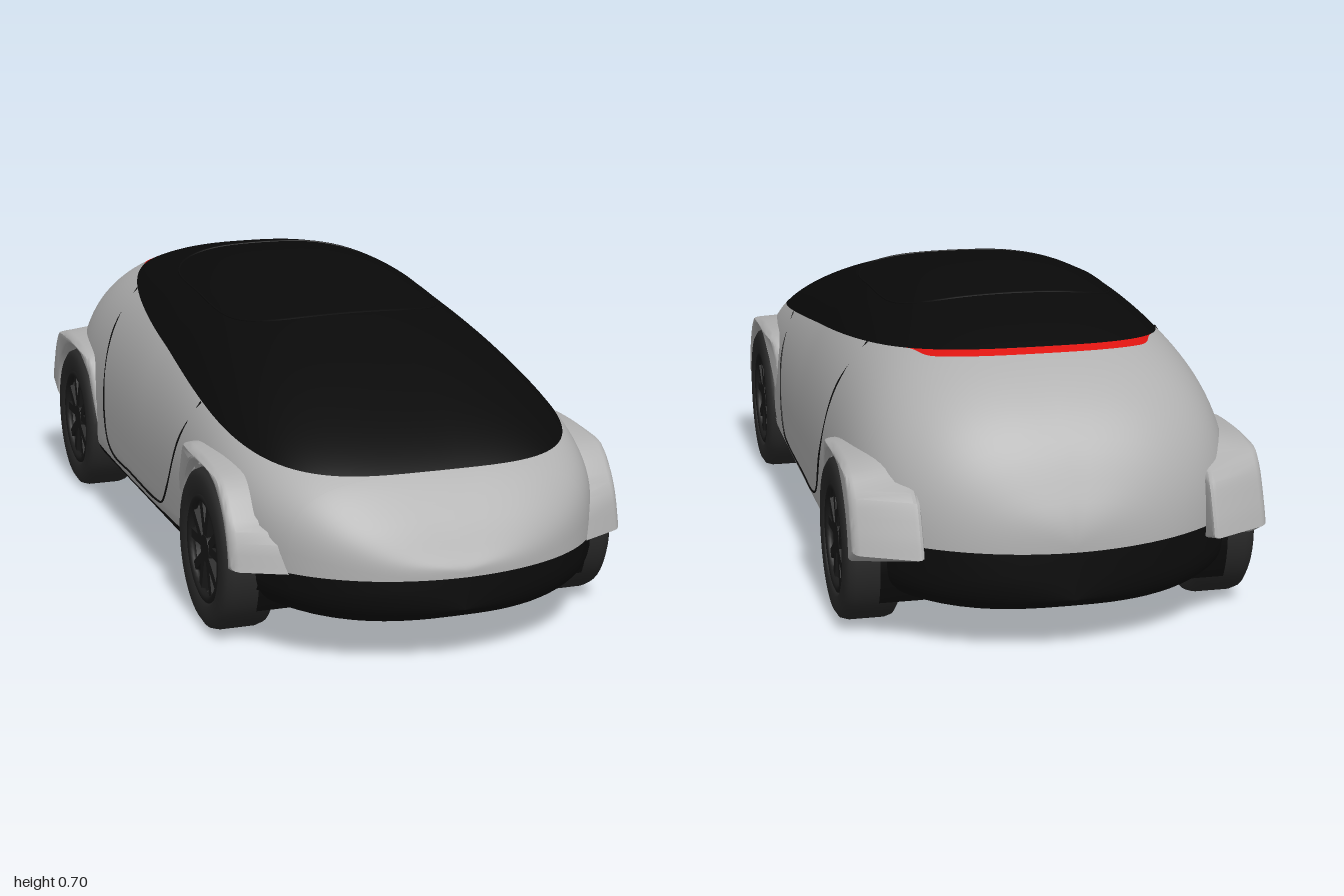
import * as THREE from 'three';
import { mergeVertices, toCreasedNormals } from 'three/addons/utils/BufferGeometryUtils.js';

const mat = (name, color, side = THREE.FrontSide) => {
  const m = new THREE.MeshStandardMaterial({ color, side });
  m.name = name;
  return m;
};

// Smooth curve through [z, value] points, eased towards both ends of the car
function profile(pts) {
  const p = pts.map(([z, v]) => [Math.asin(z), v]);
  const slope = (i) => {
    const a = p[Math.max(i - 1, 0)], b = p[Math.min(i + 1, p.length - 1)];
    return (b[1] - a[1]) / (b[0] - a[0]);
  };
  return (z) => {
    const s = Math.asin(THREE.MathUtils.clamp(z, -1, 1));
    let i = 0;
    while (i < p.length - 2 && s > p[i + 1][0]) i++;
    const h = p[i + 1][0] - p[i][0], t = (s - p[i][0]) / h, t2 = t * t, t3 = t2 * t;
    return (2 * t3 - 3 * t2 + 1) * p[i][1] + (t3 - 2 * t2 + t) * h * slope(i)
      + (3 * t2 - 2 * t3) * p[i + 1][1] + (t3 - t2) * h * slope(i + 1);
  };
}

// Body shape rules: outlines along z, superellipse sections across
const WAIST = 0.2;
const roof = profile([[-1, 0.25], [-0.97, 0.36], [-0.92, 0.455], [-0.85, 0.535], [-0.75, 0.603], [-0.6, 0.655],
  [-0.4, 0.686], [-0.17, 0.697], [0, 0.687], [0.2, 0.655], [0.4, 0.603], [0.6, 0.532], [0.85, 0.41],
  [0.93, 0.33], [0.98, 0.255], [1, 0.215]]);
const sill = profile([[-1, 0.24], [-0.8, 0.238], [-0.45, 0.165], [0.3, 0.165], [0.7, 0.205], [1, 0.205]]);
const belt = (z) => 0.527 - 0.14 * z;
const lightEdge = (z) => belt(z) - 0.013 * THREE.MathUtils.smoothstep(-z, 0.58, 0.67);
const floorY = (z) => 0.07 + 0.06 * Math.abs(z) ** 14;
const halfWidth = (z) => 0.46 * Math.sqrt(Math.max(0, 1 - Math.abs(z) ** (z > 0 ? 6 : 7)));
const power = (z) => 2.6 + 1.4 * Math.max(0, z) ** 1.5 + 0.3 * Math.max(0, -z);

function angleAt(z, y) {
  const up = y >= WAIST, n = up ? power(z) : 3;
  const u = Math.min(1, (y - WAIST) / ((up ? roof(z) : floorY(z)) - WAIST));
  return (up ? 1 : -1) * Math.asin(u ** (n / 2));
}
function pointAt(z, a) {
  const up = a >= 0, n = up ? power(z) : 3, end = up ? roof(z) : floorY(z);
  return [halfWidth(z) * Math.max(0, Math.cos(a)) ** (2 / n),
    WAIST + (end - WAIST) * Math.abs(Math.sin(a)) ** (2 / n), z];
}
const onBody = (z, y, side) => {
  const p = pointAt(z, angleAt(z, y));
  return new THREE.Vector3(side * p[0], y, z);
};
function crossing(f, lo, hi) {
  for (let i = 0; i < 50; i++) {
    const m = (lo + hi) / 2;
    if (f(lo) * f(m) <= 0) hi = m; else lo = m;
  }
  return (lo + hi) / 2;
}

const WHEEL_Y = 0.187, WHEELS = { front: 0.57, rear: -0.635 };

export function createModel() {
  const car = new THREE.Group();
  car.name = 'car';
  const silver = mat('silver paint', 0xb0b0b0);
  const black = mat('black trim', 0x0b0b0b, THREE.DoubleSide);
  const glass = mat('black glass', 0x090909);
  const red = mat('red light', 0xdd1410);
  const rubber = mat('tyre rubber', 0x292929);
  const darkMetal = mat('dark rim', 0x1a1a1a);
  const lightMetal = mat('light metal', 0xc4c4c4);
  const add = (name, geo, material, parent = car) => {
    const m = new THREE.Mesh(geo, material);
    m.name = name;
    parent.add(m);
    return m;
  };

  // Section positions, packed closer where the canopy and light end
  const stops = [-1, crossing((z) => roof(z) - lightEdge(z), -0.9, -0.5),
    crossing((z) => roof(z) - belt(z), -0.9, -0.5), crossing((z) => roof(z) - belt(z), 0.7, 0.97), 1];
  const zs = [-1];
  [28, 8, 72, 22].forEach((n, k) => {
    const a = Math.asin(stops[k]), b = Math.asin(stops[k + 1]);
    for (let i = 1; i <= n; i++) zs.push(Math.sin(a + (b - a) * (1 - Math.cos(Math.PI * i / n)) / 2));
  });

  // Body shell: four bands sharing one smooth skin
  const bands = [['lowerBodyAndFloor', black, 16], ['bodyPanels', silver, 18],
    ['rearLightStrip', red, 3], ['canopy', glass, 18]];
  const pos = [], cols = bands.reduce((s, b) => s + b[2] + 1, 0);
  for (const side of [1, -1]) for (const z of zs) {
    const cuts = [-Math.PI / 2, angleAt(z, sill(z)), angleAt(z, lightEdge(z)), angleAt(z, belt(z)), Math.PI / 2];
    bands.forEach(([, , n], k) => {
      for (let j = 0; j <= n; j++) {
        const [x, y] = pointAt(z, cuts[k] + (cuts[k + 1] - cuts[k]) * j / n);
        pos.push(side * x, y, z);
      }
    });
  }
  const inWheelWell = (tri) => {
    const c = [0, 1, 2].map((k) => tri.reduce((s, v) => s + pos[v * 3 + k], 0) / 3);
    return Math.abs(c[0]) > 0.3 && Object.values(WHEELS).some((w) => Math.hypot(c[2] - w, c[1] - WHEEL_Y) < 0.2);
  };
  const index = [], ranges = [];
  let col = 0;
  for (const [, , n] of bands) {
    const start = index.length;
    for (let h = 0; h < 2; h++) for (let i = 0; i < zs.length - 1; i++) for (let j = 0; j < n; j++) {
      const a = (h * zs.length + i) * cols + col + j, b = a + cols;
      for (const t of [[a, a + 1, b + 1], [a, b + 1, b]]) {
        if (!inWheelWell(t)) index.push(...(h ? t.reverse() : t));
      }
    }
    ranges.push([start, index.length]);
    col += n + 1;
  }
  let skin = new THREE.BufferGeometry();
  skin.setAttribute('position', new THREE.Float32BufferAttribute(pos, 3));
  skin.setIndex(index);
  skin = mergeVertices(skin, 1e-4);
  skin.computeVertexNormals();
  const merged = Array.from(skin.index.array);
  bands.forEach(([name, material], k) => {
    const g = new THREE.BufferGeometry(), idx = [];
    for (let i = ranges[k][0]; i < ranges[k][1]; i += 3) {
      const [a, b, c] = merged.slice(i, i + 3);
      if (a !== b && b !== c && a !== c) idx.push(a, b, c);
    }
    g.setAttribute('position', skin.attributes.position);
    g.setAttribute('normal', skin.attributes.normal);
    g.setIndex(idx);
    add(name, g, material);
  });

  // Door and roof seams
  const seam = (name, pts, closed) => add(name,
    new THREE.TubeGeometry(new THREE.CatmullRomCurve3(pts, closed, 'centripetal'), 80, 0.003, 5, closed), black);
  const door = [[0.36, 0.475], [0.31, 0.38], [0.25, 0.25], [0.2, 0.19], [0.14, 0.178], [-0.1, 0.178], [-0.27, 0.18],
    [-0.33, 0.21], [-0.37, 0.32], [-0.4, 0.48], [-0.415, 0.585]];
  for (const side of [1, -1]) seam('doorSeam', door.map(([z, y]) => onBody(z, y, side)), false);
  const hatch = [];
  for (let i = 0; i < 32; i++) {
    const a = i / 32 * Math.PI * 2, c = Math.cos(a), s = Math.sin(a);
    const x = 0.28 * Math.sign(c) * Math.abs(c) ** 0.5, z = -0.075 + 0.345 * Math.sign(s) * Math.abs(s) ** 0.5;
    const n = power(z), u = (1 - (Math.abs(x) / halfWidth(z)) ** n) ** (1 / n);
    hatch.push(new THREE.Vector3(x, WAIST + (roof(z) - WAIST) * u, z));
  }
  seam('roofSeam', hatch, true);

  // Fenders: extruded arches, swept back at the bumper and faded into the doors
  const fenderLines = {
    front: [[0.8, 0.205], [0.77, 0.3], [0.71, 0.375], [0.62, 0.412], [0.5, 0.42], [0.41, 0.41], [0.35, 0.35], [0.3, 0.25], [0.27, 0.19]],
    rear: [[-0.41, 0.19], [-0.44, 0.27], [-0.48, 0.36], [-0.54, 0.405], [-0.64, 0.42], [-0.77, 0.415], [-0.84, 0.365], [-0.88, 0.29], [-0.9, 0.235]],
  };
  function fender(end, side) {
    const zc = WHEELS[end], out = Math.sign(zc), k = -side, r = 0.193;
    const line = new THREE.SplineCurve(fenderLines[end].map(([z, y]) => new THREE.Vector2(k * z, y))).getPoints(36);
    for (let i = 0; i <= 24; i++) {
      const a = Math.PI * i / 24;
      line.push(new THREE.Vector2(k * (zc - r * Math.cos(a)), WHEEL_Y + 0.01 + r * Math.sin(a)));
    }
    const g = new THREE.ExtrudeGeometry(new THREE.Shape(line), {
      depth: 0.115, bevelThickness: 0.016, bevelSize: 0.012, bevelOffset: -0.012, bevelSegments: 3,
    });
    g.rotateY(side * Math.PI / 2).translate(side * 0.341, 0, 0);
    const p = g.attributes.position;
    for (let i = 0; i < p.count; i++) {
      const x = Math.abs(p.getX(i)), z = p.getZ(i), d = out * (z - zc);
      const t = THREE.MathUtils.clamp((x - 0.33) / 0.14, 0, 1);
      const inward = THREE.MathUtils.smoothstep(-d, 0.08, 0.28);
      p.setX(i, side * (x - 0.02 * t * inward));
      if (d > 0.19) p.setZ(i, z + out * 0.07 * (1 - t) * Math.min(1, (d - 0.19) / 0.02));
      p.setY(i, p.getY(i) - 0.02 * t * t * THREE.MathUtils.smoothstep(p.getY(i), 0.38, 0.42));
    }
    add(end + 'Fender', toCreasedNormals(g, 0.6), silver);
  }

  // Wheel: tyre, rim with paired spokes, and a light disc behind
  const tyreLine = [[0.122, -0.055], [0.135, -0.064], [0.168, -0.065], [0.182, -0.056], [0.187, -0.04], [0.187, 0.04],
    [0.182, 0.056], [0.168, 0.065], [0.135, 0.064], [0.122, 0.055], [0.122, -0.055]].map((q) => new THREE.Vector2(...q));
  const tyreGeo = new THREE.LatheGeometry(tyreLine, 48).rotateZ(-Math.PI / 2);
  const discGeo = new THREE.CylinderGeometry(0.122, 0.122, 0.05, 40).rotateZ(Math.PI / 2);
  const rimGeo = new THREE.TorusGeometry(0.118, 0.01, 8, 48).rotateY(Math.PI / 2);
  const hubGeo = new THREE.CylinderGeometry(0.032, 0.036, 0.03, 20).rotateZ(Math.PI / 2);
  const backGeo = new THREE.CylinderGeometry(0.078, 0.078, 0.012, 32).rotateZ(Math.PI / 2);
  const spokeGeo = new THREE.BoxGeometry(0.016, 0.1, 0.022);
  function wheel(end, side) {
    const w = new THREE.Group();
    w.name = end + 'Wheel';
    w.position.set(side * 0.41, WHEEL_Y, WHEELS[end]);
    add('tyre', tyreGeo, rubber, w);
    add('rimBarrel', discGeo, lightMetal, w);
    add('brakeCover', backGeo, darkMetal, w).position.x = side * 0.026;
    add('rimRing', rimGeo, darkMetal, w).position.x = side * 0.052;
    add('hub', hubGeo, darkMetal, w).position.x = side * 0.04;
    for (let i = 0; i < 5; i++) for (const e of [1, -1]) {
      const s = add('spoke', spokeGeo, darkMetal, w), a = i * Math.PI * 0.4 + e * 0.22;
      s.position.set(side * 0.046, 0.069 * Math.cos(a), 0.069 * Math.sin(a));
      s.rotation.x = a + e * 0.12;
    }
    car.add(w);
  }

  // Dark wheel wells, open at the bottom
  function well(end, side) {
    const from = -0.5, sweep = Math.PI + 1;
    const wall = new THREE.CylinderGeometry(0.205, 0.205, 0.1, 32, 1, true, from, sweep);
    wall.rotateX(Math.PI / 2).rotateZ(Math.PI / 2 - Math.PI / 2).rotateY(Math.PI / 2);
    // Orient the opening downwards
    wall.computeBoundingBox();
    const arc = new THREE.CircleGeometry(0.205, 32, from, sweep).rotateY(side * Math.PI / 2);
    const p = wall.attributes.position;
    for (let i = 0; i < p.count; i++) {
      const a = from + sweep * (i % 33) / 32;
      p.setXYZ(i, i < 33 ? 0.05 : -0.05, 0.205 * Math.sin(a), 0.205 * Math.cos(a));
    }
    wall.computeVertexNormals();
    add(end + 'WheelWellWall', wall, black).position.set(side * 0.35, WHEEL_Y, WHEELS[end]);
    add(end + 'WheelWellBack', arc, black).position.set(side * 0.3, WHEEL_Y, WHEELS[end]);
  }

  for (const end of ['front', 'rear']) for (const side of [1, -1]) {
    fender(end, side);
    wheel(end, side);
    well(end, side);
  }
  return car;
}
